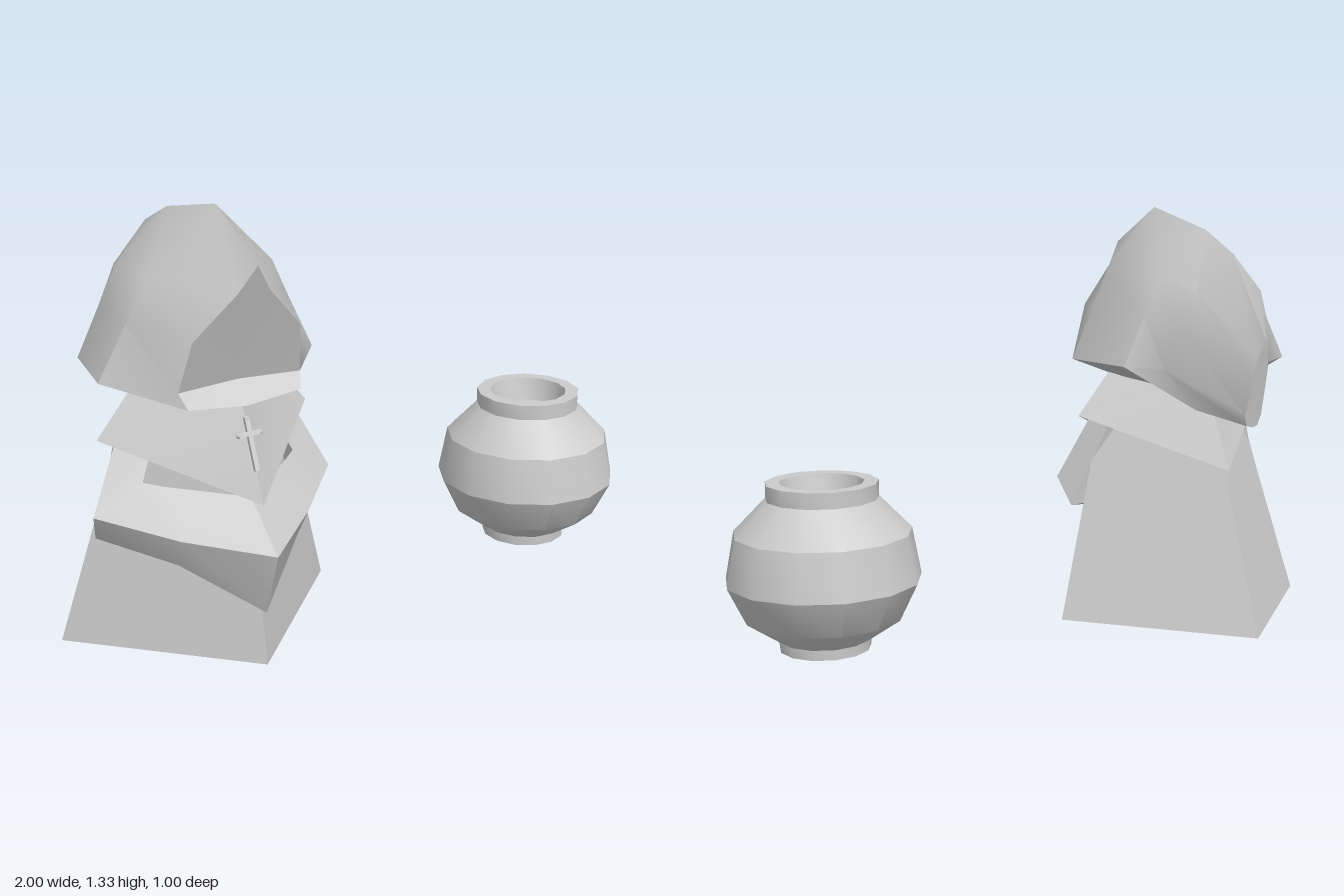
import * as THREE from 'three';
import { toCreasedNormals } from 'three/addons/utils/BufferGeometryUtils.js';

const grey = new THREE.MeshStandardMaterial({ color: 0xcccccc });
const greyBoth = new THREE.MeshStandardMaterial({ color: 0xcccccc, side: THREE.DoubleSide });

const mirror = ([x, y, z]) => [-x, y, z];

// Skins a row of closed cross-sections; each cap is a fan around a given or average point.
function loft(sections, { crease = 0.3, caps = true, startCentre } = {}) {
  const pos = [];
  const n = sections[0].length;
  const tri = (a, b, c) => pos.push(...a, ...b, ...c);
  for (let i = 0; i < sections.length - 1; i++) {
    for (let j = 0; j < n; j++) {
      const k = (j + 1) % n;
      const a = sections[i][j], b = sections[i][k];
      const c = sections[i + 1][k], d = sections[i + 1][j];
      tri(a, b, c);
      tri(a, c, d);
    }
  }
  if (caps) {
    const average = (s) => [0, 1, 2].map((k) => s.reduce((t, p) => t + p[k], 0) / n);
    const first = sections[0], last = sections[sections.length - 1];
    const c0 = startCentre || average(first), c1 = average(last);
    for (let j = 0; j < n; j++) {
      const k = (j + 1) % n;
      tri(c0, first[k], first[j]);
      tri(c1, last[j], last[k]);
    }
  }
  const geo = new THREE.BufferGeometry();
  geo.setAttribute('position', new THREE.Float32BufferAttribute(pos, 3));
  return toCreasedNormals(geo, crease);
}

function add(parent, name, geometry, material = grey) {
  const mesh = new THREE.Mesh(geometry, material);
  mesh.name = name;
  parent.add(mesh);
  return mesh;
}

// Diamond ring: front, right, back and left corners.
const diamond = (w, ySide, zSide, yEnd, zFront, zBack) => [
  [0, yEnd, zFront], [-w, ySide, zSide], [0, yEnd, zBack], [w, ySide, zSide],
];

// Full hood ring from its left half, ridge first and underside centre last.
const hoodRing = (half) => [...half, ...half.slice(1, -1).reverse().map(mirror)];

function createFigure() {
  const figure = new THREE.Group();
  figure.name = 'hoodedFigure';
  figure.position.x = -0.543;

  // Four-sided robe
  add(figure, 'robe', loft([
    diamond(0.235, 0.8, 0.065, 0.8, 0.29, -0.16),
    diamond(0.457, 0.005, -0.035, 0.005, 0.425, -0.492),
  ]));

  // Shoulder cape, hanging lower at front and back
  add(figure, 'cape', loft([
    diamond(0.235, 0.8, 0.06, 0.8, 0.295, -0.15),
    diamond(0.348, 0.66, 0.06, 0.51, 0.42, -0.31),
  ], { caps: false }), greyBoth);

  // Sleeves: shoulder, elbow, forearm, then joined in front
  const arm = [
    [[0.2, 0.64, 0.12], [0.15, 0.62, 0], [0.268, 0.635, 0], [0.3, 0.645, 0.075]],
    [[0.25, 0.54, 0.15], [0.26, 0.38, 0.03], [0.37, 0.36, 0.065], [0.395, 0.45, 0.12]],
    [[0.2, 0.53, 0.19], [0.18, 0.34, 0.17], [0.2, 0.31, 0.26], [0.21, 0.405, 0.31]],
  ];
  const joined = [[0, 0.51, 0.345], [0, 0.26, 0.36], [0, 0.175, 0.425], [0, 0.38, 0.5]];
  const otherArm = arm.map((s) => s.map(mirror)).reverse();
  add(figure, 'sleeves', loft([...arm, joined, ...otherArm], { crease: 0.5 }));

  // Hood, from the face opening back to the drooping tail
  const hood = [
    [[0, 1.21, 0.415], [0.05, 1.13, 0.388], [0.17, 1.0, 0.345], [0.195, 0.845, 0.295],
      [0.18, 0.8, 0.325], [0, 0.785, 0.335]],
    [[0, 1.335, 0.17], [0.2, 1.14, 0.13], [0.265, 1.01, 0.115], [0.35, 0.845, 0.1],
      [0.21, 0.79, 0.08], [0, 0.79, 0.08]],
    [[0, 1.27, -0.15], [0.17, 1.12, -0.15], [0.23, 1.0, -0.155], [0.305, 0.845, -0.16],
      [0.18, 0.78, -0.14], [0, 0.78, -0.14]],
    [[0, 1.2, -0.31], [0.12, 1.08, -0.29], [0.165, 0.97, -0.27], [0.2, 0.84, -0.23],
      [0.11, 0.71, -0.28], [0, 0.71, -0.29]],
    [[0, 0.945, -0.495], [0.02, 0.89, -0.48], [0.025, 0.82, -0.465], [0.03, 0.71, -0.435],
      [0.02, 0.675, -0.43], [0, 0.67, -0.433]],
  ].map(hoodRing);
  add(figure, 'hood', loft(hood, { crease: 0.75, startCentre: [0, 0.85, 0.28] }));

  // Cross pendant lying along the front edge of the cape
  const cross = new THREE.Group();
  cross.name = 'crossPendant';
  cross.position.set(0, 0.675, 0.354);
  cross.rotation.x = -0.4;
  figure.add(cross);
  add(cross, 'crossUpright', new THREE.BoxGeometry(0.014, 0.155, 0.012));
  add(cross, 'crossBar', new THREE.BoxGeometry(0.07, 0.014, 0.012)).position.y = 0.03;
  for (const [x, y] of [[-0.035, 0.03], [0.035, 0.03], [0, 0.075]]) {
    add(cross, 'crossTip', new THREE.SphereGeometry(0.008, 8, 6)).position.set(x, y, 0);
  }
  return figure;
}

function createPot() {
  // Thirteen-sided pot with a raised foot, a neck and a hollow mouth
  const profile = [
    [0, 0.003], [0.142, 0.003], [0.143, 0.035], [0.246, 0.105], [0.303, 0.222], [0.275, 0.37],
    [0.174, 0.475], [0.174, 0.525], [0.13, 0.525], [0.112, 0.45], [0, 0.45],
  ].map(([r, y]) => new THREE.Vector2(r, y));
  const pot = new THREE.Group();
  pot.name = 'pot';
  pot.position.set(0.697, 0, 0.048);
  add(pot, 'potBody', toCreasedNormals(new THREE.LatheGeometry(profile, 13, Math.PI / 2), 0.54));
  return pot;
}

export function createModel() {
  const model = new THREE.Group();
  model.name = 'figureWithPot';
  model.add(createFigure(), createPot());
  return model;
}
